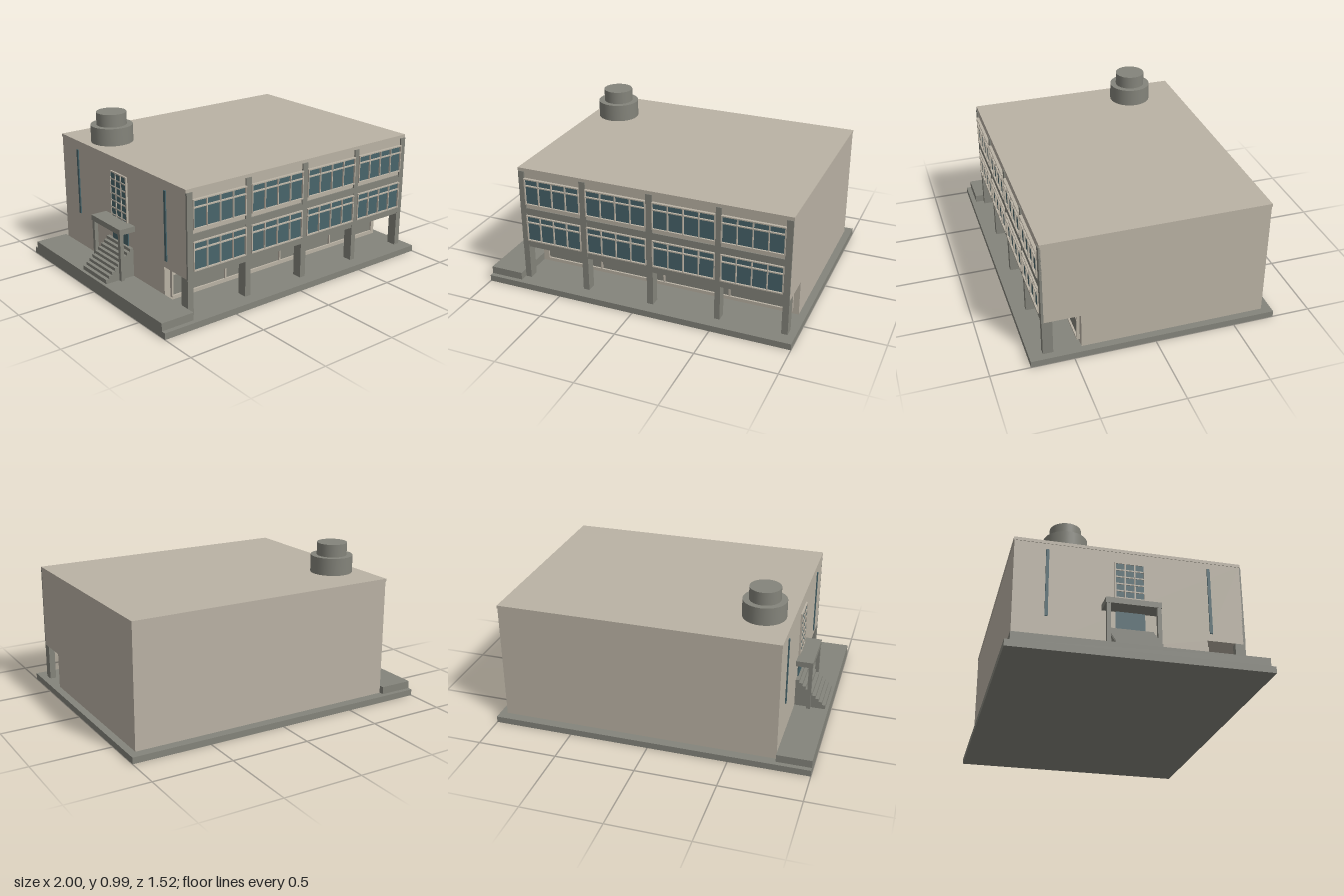
import * as THREE from 'three';

const mat = (name, color) => {
  const m = new THREE.MeshStandardMaterial({ color });
  m.name = name;
  return m;
};

export function createModel() {
  const plaster = mat('plaster', 0xbab2a4);
  const concrete = mat('concrete', 0x84847b);
  const glass = mat('glass', 0x48646a);
  const model = new THREE.Group();
  model.name = 'building';

  const group = (name) => {
    const g = new THREE.Group();
    g.name = name;
    model.add(g);
    return g;
  };
  // box given by its limits along each axis
  const box = (parent, name, m, x0, x1, y0, y1, z0, z1) => {
    const mesh = new THREE.Mesh(new THREE.BoxGeometry(x1 - x0, y1 - y0, z1 - z0), m);
    mesh.position.set((x0 + x1) / 2, (y0 + y1) / 2, (z0 + z1) / 2);
    mesh.name = name;
    parent.add(mesh);
  };

  // ground slab and raised side terrace
  box(model, 'baseSlab', concrete, -1, 1, 0, 0.04, -0.76, 0.76);
  box(model, 'sideTerrace', concrete, -1, -0.785, 0.04, 0.088, -0.73, 0.73);

  // main volume: side outline with the open ground-floor arcade, extruded across
  const outline = new THREE.Shape([
    [0.70, 0.04], [0.70, 0.785], [-0.67, 0.785], [-0.67, 0.265], [-0.445, 0.265], [-0.445, 0.04],
  ].map(([x, y]) => new THREE.Vector2(x, y)));
  const hall = new THREE.Mesh(
    new THREE.ExtrudeGeometry(outline, { depth: 1.738, bevelEnabled: false }), plaster);
  hall.rotation.y = Math.PI / 2;
  hall.position.x = -0.784;
  hall.name = 'hall';
  model.add(hall);
  box(model, 'roofSlab', plaster, -0.787, 0.956, 0.78, 0.8, -0.703, 0.674);

  // front columns: full posts below, slim pilasters above
  const columns = [[-0.784, -0.745], [-0.37, -0.33], [0.065, 0.105], [0.5, 0.535], [0.915, 0.954]];
  const posts = group('frontColumns');
  for (const [a, b] of columns) {
    box(posts, 'post', concrete, a, b, 0.04, 0.265, 0.615, 0.677);
    box(posts, 'pilaster', concrete, a, b, 0.265, 0.78, 0.665, 0.679);
  }
  for (const [y0, y1] of [[0.264, 0.31], [0.487, 0.532]])
    box(model, 'floorBand', concrete, -0.783, 0.953, y0, y1, 0.665, 0.677);

  // two storeys of window strips between the columns
  const windows = group('frontWindows');
  for (const [y0, y1] of [[0.31, 0.485], [0.56, 0.735]]) {
    for (let i = 0; i < 4; i++) {
      const a = columns[i][1], b = columns[i + 1][0];
      box(windows, 'pane', glass, a, b, y0, y1, 0.668, 0.676);
      for (const [f0, f1] of [[y0 - 0.001, y0 + 0.006], [y1 - 0.006, y1 + 0.001], [y1 - 0.05, y1 - 0.043]])
        box(windows, 'rail', plaster, a, b, f0, f1, 0.67, 0.688);
      for (let k = 0; k <= 4; k++) {
        const x = a + 0.003 + (b - a - 0.006) * k / 4;
        box(windows, 'mullion', plaster, x - 0.003, x + 0.003, y0, y1, 0.67, 0.687);
      }
    }
  }

  // long panelled screen at the back of the arcade
  const screen = group('arcadeScreen');
  box(screen, 'panel', concrete, -0.74, 0.913, 0.07, 0.24, 0.446, 0.453);
  for (const y of [0.07, 0.21, 0.24])
    box(screen, 'screenRail', plaster, -0.745, 0.918, y - 0.005, y + 0.005, 0.445, 0.465);
  for (const x of [-0.74, -0.35, 0.085, 0.518, 0.913])
    box(screen, 'screenMullion', plaster, x - 0.005, x + 0.005, 0.066, 0.244, 0.445, 0.464);

  // tall slit windows on the left-hand wall
  for (const z of [-0.505, 0.47])
    box(model, 'slitWindow', glass, -0.791, -0.782, 0.31, 0.74, z - 0.009, z + 0.009);

  // gridded stair window and entrance door
  const entrance = group('entrance');
  box(entrance, 'stairWindow', glass, -0.791, -0.782, 0.42, 0.705, -0.105, 0.07);
  box(entrance, 'door', glass, -0.791, -0.782, 0.27, 0.385, -0.105, 0.07);
  for (let k = 0; k <= 3; k++) {
    const z = -0.105 + 0.175 * k / 3;
    box(entrance, 'stairWindowBar', plaster, -0.796, -0.783, 0.42, 0.708, z - 0.004, z + 0.004);
  }
  for (let k = 0; k <= 6; k++) {
    const y = 0.43 + 0.275 * k / 6;
    box(entrance, 'stairWindowRail', plaster, -0.795, -0.783, y - 0.004, y + 0.004, -0.105, 0.07);
  }

  // porch canopy on two posts, with a flight of steps
  box(entrance, 'canopy', concrete, -0.89, -0.784, 0.385, 0.42, -0.185, 0.142);
  for (const z of [-0.18, 0.115])
    box(entrance, 'porchPost', concrete, -0.888, -0.864, 0.088, 0.385, z, z + 0.024);
  const steps = 9;
  for (let i = 0; i < steps; i++) {
    const x = -0.98 + 0.0217 * i;
    box(entrance, 'step', concrete, x, i === steps - 1 ? -0.784 : x + 0.0217,
      0.088, 0.115 + 0.0194 * i, -0.155, 0.115);
  }

  // stepped round tank on the roof
  for (const [r, y0, y1] of [[0.133, 0.8, 0.91], [0.095, 0.91, 0.99]]) {
    const tank = new THREE.Mesh(new THREE.CylinderGeometry(r, r, y1 - y0, 32), concrete);
    tank.position.set(-0.61, (y0 + y1) / 2, -0.37);
    tank.name = 'roofTank';
    model.add(tank);
  }
  return model;
}
